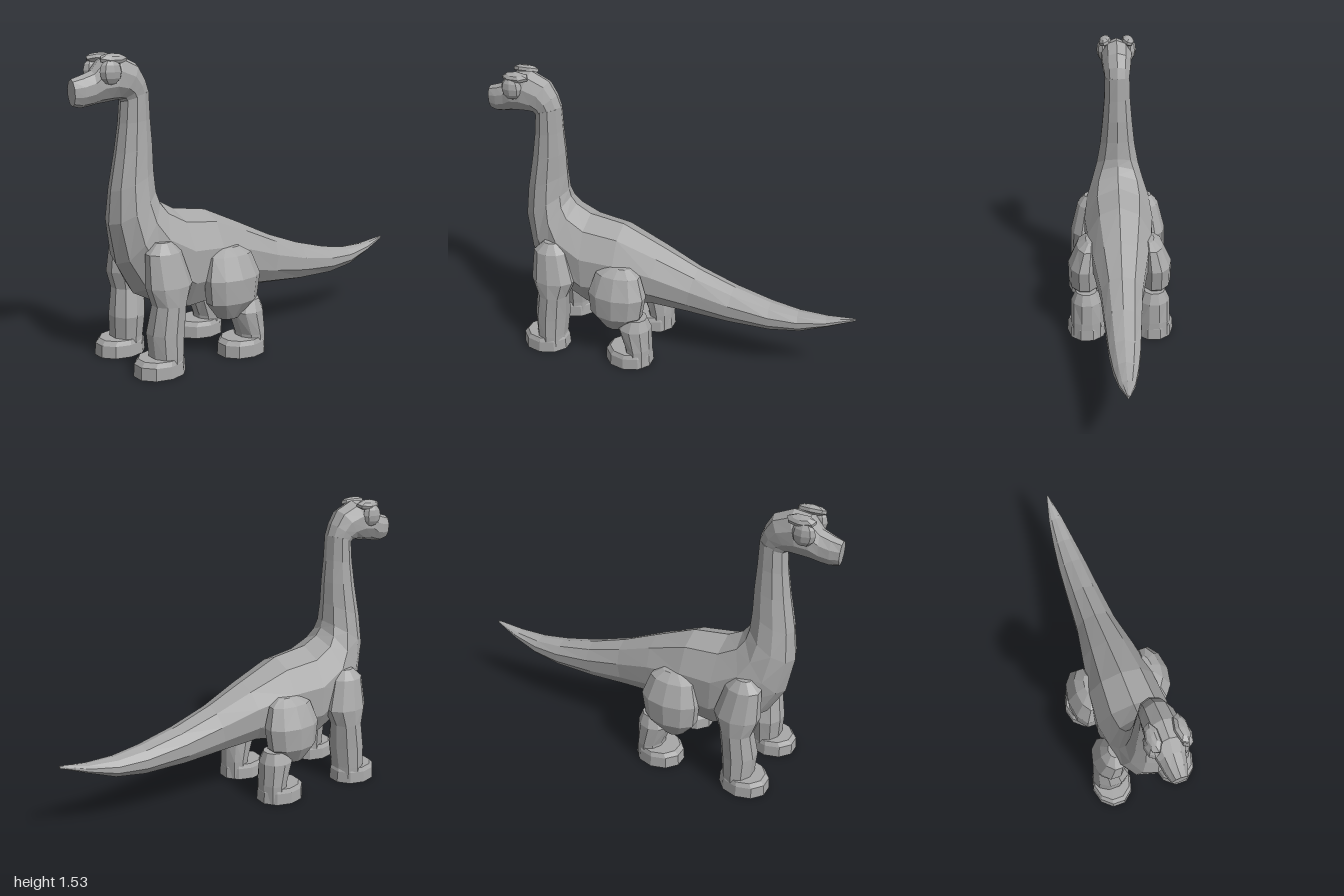
import * as THREE from 'three';

const skin = new THREE.MeshStandardMaterial({ color: 0xa8a8a8, flatShading: true });
skin.name = 'grey skin';

// Closed faceted skin over a list of rings, each ring a list of Vector3
function loft(name, rings) {
  const n = rings[0].length;
  const pos = [];
  const tri = (a, b, c) => pos.push(...a.toArray(), ...b.toArray(), ...c.toArray());
  for (let i = 0; i + 1 < rings.length; i++) {
    for (let j = 0; j < n; j++) {
      const k = (j + 1) % n;
      const [a, b, c, d] = [rings[i][j], rings[i][k], rings[i + 1][k], rings[i + 1][j]];
      tri(a, b, c);
      tri(a, c, d);
    }
  }
  // end caps
  const cap = (ring, flip) => {
    const mid = ring.reduce((s, p) => s.add(p), new THREE.Vector3()).divideScalar(n);
    ring.forEach((p, j) => {
      const q = ring[(j + 1) % n];
      if (flip) tri(mid, q, p); else tri(mid, p, q);
    });
  };
  cap(rings[0], true);
  cap(rings[rings.length - 1], false);
  // turn the faces outwards if the rings run the other way
  const v = (i) => new THREE.Vector3().fromArray(pos, i);
  let volume = 0;
  for (let i = 0; i < pos.length; i += 9) volume += v(i).dot(v(i + 3).cross(v(i + 6)));
  if (volume < 0) {
    for (let i = 0; i < pos.length; i += 9) {
      const b = pos.slice(i + 3, i + 6);
      for (let k = 0; k < 3; k++) {
        pos[i + 3 + k] = pos[i + 6 + k];
        pos[i + 6 + k] = b[k];
      }
    }
  }
  const geo = new THREE.BufferGeometry();
  geo.setAttribute('position', new THREE.Float32BufferAttribute(pos, 3));
  geo.computeVertexNormals();
  const mesh = new THREE.Mesh(geo, skin);
  mesh.name = name;
  return mesh;
}

// Ring spanning an upper and a lower point on the centre plane: [topZ, topY, lowZ, lowY, halfWidth]
function spineRing([tz, ty, bz, by, w], sides = 10) {
  return Array.from({ length: sides }, (_, j) => {
    const a = (j / sides) * Math.PI * 2;
    const t = (1 - Math.cos(a)) / 2;
    return new THREE.Vector3(Math.sin(a) * w * 1.04, by + (ty - by) * t, bz + (tz - bz) * t);
  });
}

// Level ring: [y, centreX, centreZ, radiusX, radiusZ]
function levelRing(side, [y, cx, cz, rx, rz], sides = 10) {
  return Array.from({ length: sides }, (_, j) => {
    const a = ((j + 0.5) / sides) * Math.PI * 2;
    return new THREE.Vector3(side * (cx + Math.sin(a) * rx), y, cz + Math.cos(a) * rz * 1.04);
  });
}

export function createModel() {
  const model = new THREE.Group();
  model.name = 'longNeckedDinosaur';

  // Tail, trunk and neck as one sweep
  const body = [
    [-1, 0.395, -1, 0.38, 0.005],
    [-0.85, 0.373, -0.86, 0.325, 0.04],
    [-0.7, 0.375, -0.72, 0.27, 0.062],
    [-0.55, 0.4, -0.56, 0.248, 0.08],
    [-0.35, 0.455, -0.33, 0.25, 0.096],
    [-0.15, 0.53, -0.1, 0.268, 0.112],
    [0.05, 0.625, 0.1, 0.285, 0.147],
    [0.27, 0.725, 0.28, 0.24, 0.18],
    [0.46, 0.755, 0.45, 0.225, 0.197],
    [0.54, 0.8, 0.7, 0.36, 0.18],
    [0.57, 0.84, 0.79, 0.52, 0.15],
    [0.58, 0.88, 0.825, 0.72, 0.122],
    [0.585, 0.98, 0.81, 0.88, 0.1],
    [0.587, 1.1, 0.775, 1.06, 0.085],
    [0.595, 1.22, 0.752, 1.2, 0.074],
    [0.6, 1.35, 0.74, 1.32, 0.07],
  ];
  model.add(loft('bodyNeckAndTail', body.map((s) => spineRing(s))));

  // Head bending forward into the snout
  const head = [
    [0.6, 1.35, 0.74, 1.3, 0.068],
    [0.62, 1.41, 0.75, 1.312, 0.073],
    [0.66, 1.48, 0.78, 1.31, 0.08],
    [0.755, 1.525, 0.82, 1.305, 0.085],
    [0.84, 1.515, 0.87, 1.3, 0.078],
    [0.895, 1.455, 0.91, 1.292, 0.062],
    [0.95, 1.435, 0.955, 1.286, 0.052],
    [1.0, 1.42, 0.995, 1.295, 0.037],
  ];
  model.add(loft('head', head.map((s) => spineRing(s))));

  for (const side of [1, -1]) {
    const label = side > 0 ? 'left' : 'right';

    // Bulging eye with a brow ridge above it
    const eye = new THREE.Mesh(new THREE.SphereGeometry(1, 8, 6), skin);
    eye.name = label + 'Eye';
    eye.scale.set(0.034, 0.06, 0.058);
    eye.position.set(side * 0.078, 1.45, 0.835);
    const brow = new THREE.Mesh(new THREE.SphereGeometry(1, 7, 5), skin);
    brow.name = label + 'Brow';
    brow.scale.set(0.036, 0.025, 0.075);
    brow.position.set(side * 0.065, 1.506, 0.815);
    brow.rotation.z = -side * 0.35;
    model.add(eye, brow);

    const part = (name, rings) =>
      model.add(loft(label + name, rings.map((r) => levelRing(side, r))));

    part('FrontLeg', [
      [0.64, 0.165, 0.625, 0.03, 0.04],
      [0.59, 0.168, 0.628, 0.068, 0.09],
      [0.43, 0.187, 0.61, 0.09, 0.118],
      [0.34, 0.193, 0.615, 0.086, 0.085],
      [0.2, 0.18, 0.632, 0.103, 0.09],
      [0.09, 0.188, 0.635, 0.1, 0.08],
      [0.0, 0.188, 0.635, 0.1, 0.08],
    ]);
    part('Thigh', [
      [0.555, 0.165, 0.235, 0.025, 0.06],
      [0.52, 0.18, 0.24, 0.06, 0.12],
      [0.41, 0.2, 0.24, 0.09, 0.155],
      [0.29, 0.2, 0.245, 0.088, 0.14],
      [0.2, 0.185, 0.26, 0.05, 0.055],
    ]);
    part('HindShin', [
      [0.28, 0.19, 0.14, 0.06, 0.06],
      [0.22, 0.188, 0.148, 0.088, 0.09],
      [0.1, 0.188, 0.125, 0.092, 0.07],
      [0.0, 0.188, 0.125, 0.092, 0.07],
    ]);
    // Broad feet with the toes forward
    for (const [name, z] of [['FrontFoot', 0.672], ['HindFoot', 0.178]]) {
      part(name, [
        [0.085, 0.188, z - 0.005, 0.1, 0.108],
        [0.062, 0.188, z, 0.11, 0.124],
        [0.0, 0.188, z, 0.113, 0.128],
      ]);
    }
  }
  return model;
}
